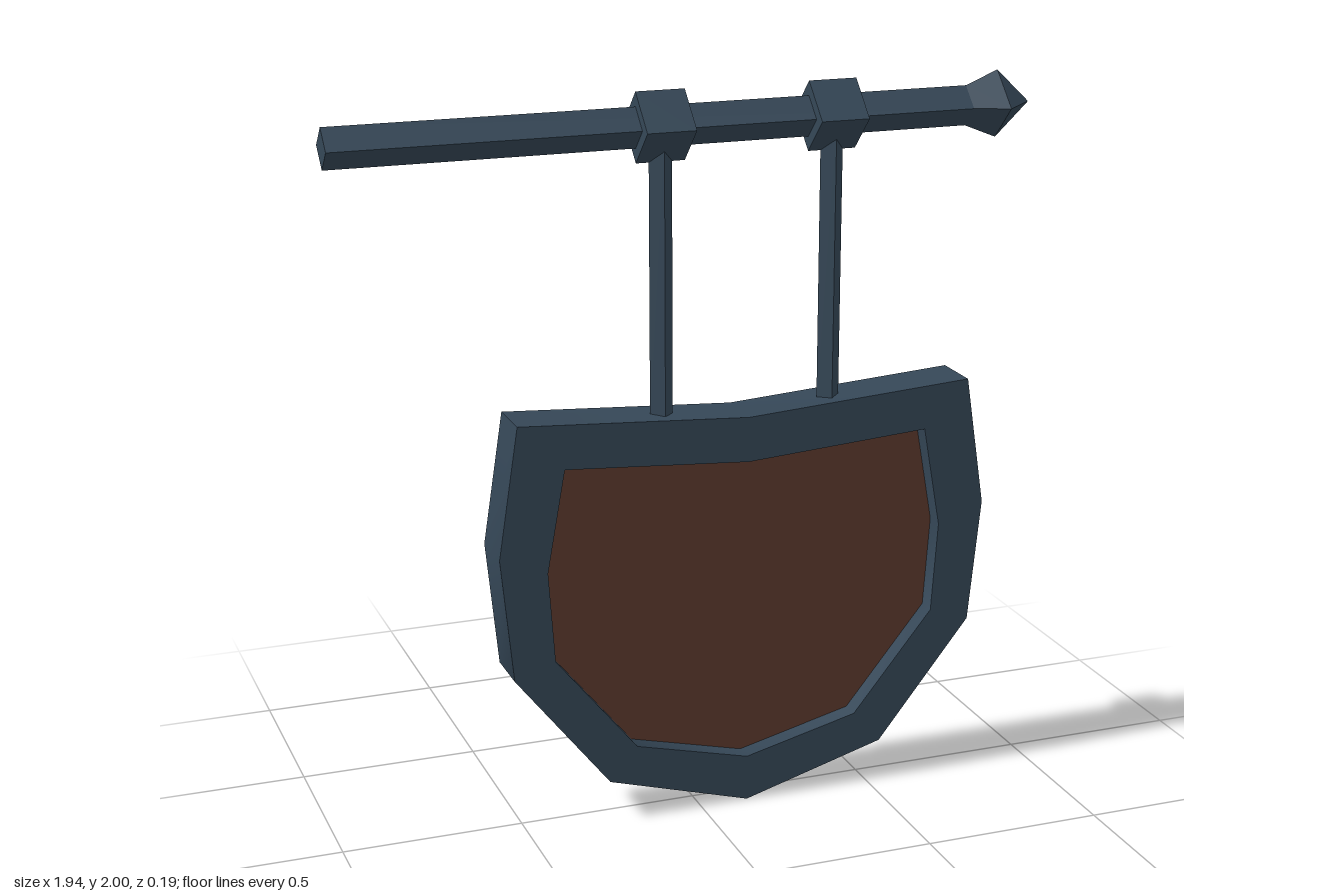
import * as THREE from 'three';
import { toCreasedNormals } from 'three/addons/utils/BufferGeometryUtils.js';

const CX = 0.137;    // centre line of the hanging board
const BAR_Y = 1.907; // height of the bar

// Right half outlines, top centre to bottom centre, as [offset from CX, y]
const OUTER = [[0, 1.12], [0.645, 1.162], [0.701, 0.8], [0.667, 0.453], [0.402, 0.117], [0, 0]];
const INNER = [[0, 0.995], [0.518, 1.031], [0.569, 0.748], [0.552, 0.494], [0.323, 0.211], [0, 0.13]];

// Mirrors a half outline into a closed clockwise loop
function outline(half) {
  const mirrored = half.slice(1, -1).reverse().map(([x, y]) => [-x, y]);
  return [...half, ...mirrored].map(([x, y]) => new THREE.Vector2(CX + x, y));
}

function slab(shape, depth) {
  const geo = new THREE.ExtrudeGeometry(shape, { depth, bevelEnabled: false });
  return geo.translate(0, 0, -depth / 2 - 0.003);
}

// Four-sided rod along x with its edges at top, bottom, front and back
function rodX(x0, x1, r0, r1, open = false) {
  const geo = new THREE.CylinderGeometry(r1, r0, x1 - x0, 4, 1, open);
  return geo.rotateZ(-Math.PI / 2).translate((x0 + x1) / 2, BAR_Y, 0);
}

export function createModel() {
  const iron = new THREE.MeshStandardMaterial({ color: 0x354757 });
  iron.name = 'blue grey iron';
  const wood = new THREE.MeshStandardMaterial({ color: 0x5c3a2d });
  wood.name = 'brown wood';

  const group = new THREE.Group();
  group.name = 'hangingSign';
  // Shallow bends shade smoothly, corners over 45 degrees stay sharp
  const add = (name, geo, material) => {
    const mesh = new THREE.Mesh(toCreasedNormals(geo, Math.PI / 4), material);
    mesh.name = name;
    group.add(mesh);
  };

  // Wall bar with a pointed finial
  add('bar', rodX(-0.972, 0.78, 0.054, 0.054), iron);
  add('finialFlare', rodX(0.78, 0.872, 0.054, 0.091, true), iron);
  add('finialTip', rodX(0.872, 0.968, 0.091, 0, true), iron);

  // Collars around the bar, each holding a post
  for (const [side, dx] of [['right', -0.225], ['left', 0.255]]) {
    const x = CX + dx;
    add(side + 'Collar', rodX(x - 0.067, x + 0.067, 0.093, 0.093), iron);
    const post = new THREE.CylinderGeometry(0.032, 0.032, 0.8, 4);
    add(side + 'Post', post.translate(x, 1.5, 0), iron);
  }

  // Shield-shaped frame; the hole runs the other way round so its walls face inward
  const frame = new THREE.Shape(outline(OUTER));
  frame.holes.push(new THREE.Path(outline(INNER).reverse()));
  add('frame', slab(frame, 0.146), iron);

  // Panel recessed on both sides
  add('panel', slab(new THREE.Shape(outline(INNER)), 0.04), wood);

  return group;
}
